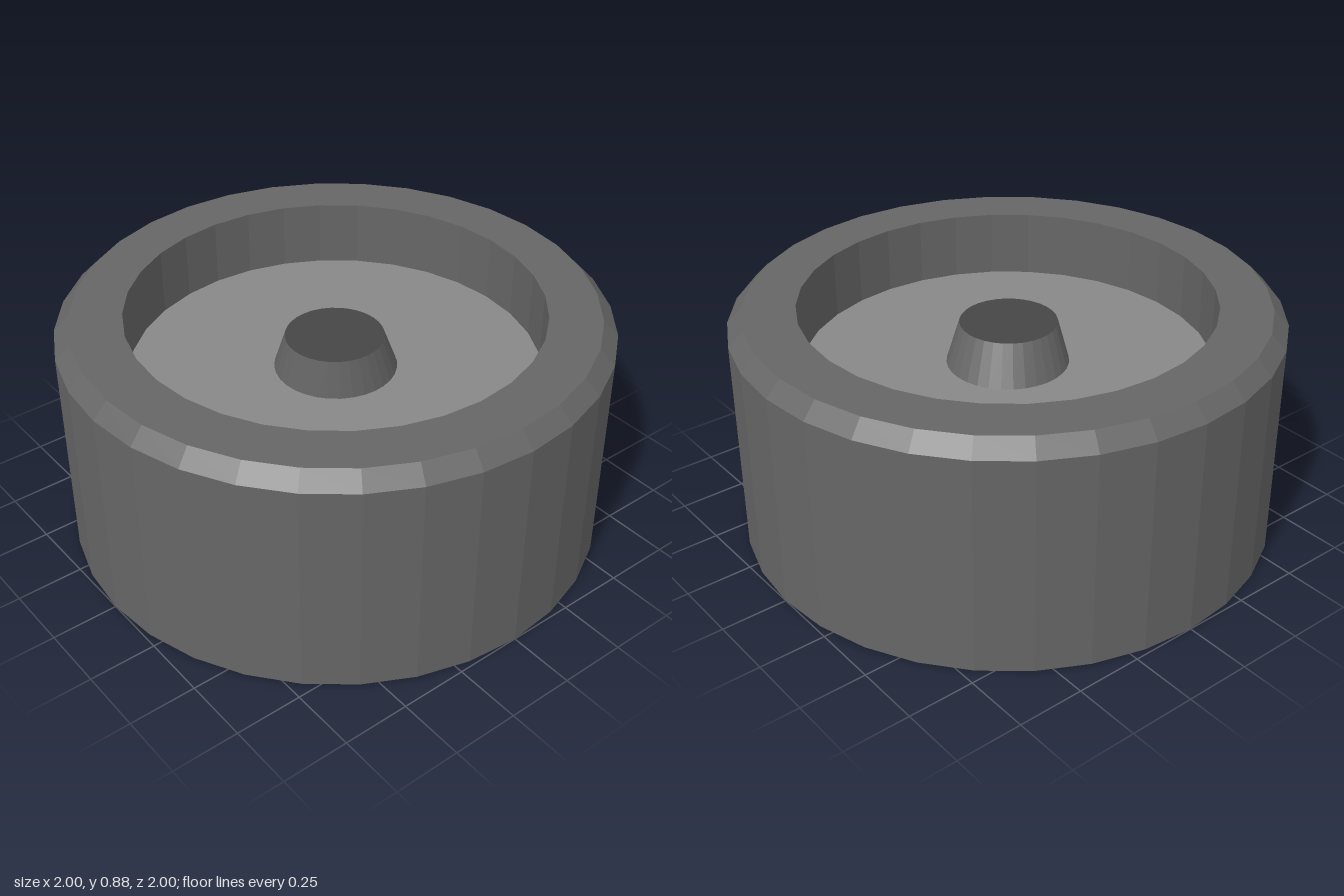
import * as THREE from 'three';

const SIDES = 32;
const FLOOR_Y = 0.625;
const PEG_TOP_Y = 0.77;
const PEG_LEAN = 0.02;

function part(name, geometry, color) {
  const material = new THREE.MeshStandardMaterial({ color });
  material.flatShading = true;
  const mesh = new THREE.Mesh(geometry, material);
  mesh.name = name;
  return mesh;
}

// Horizontal disc facing up
function disc(radius, x, y, z) {
  return new THREE.CircleGeometry(radius, SIDES).rotateX(-Math.PI / 2).translate(x, y, z);
}

export function createModel() {
  const group = new THREE.Group();
  group.name = 'recessedDrum';

  // Drum: closed base, wall, bevelled rim and the wall of the recess
  const profile = [
    [0, 0], [1, 0], [1, 0.82], [0.945, 0.877], [0.755, 0.877], [0.755, FLOOR_Y],
  ].map(([r, y]) => new THREE.Vector2(r, y));
  group.add(part('drumBody', new THREE.LatheGeometry(profile, SIDES), 0x666666));

  // Floor of the recess
  group.add(part('recessFloor', disc(0.755, 0, FLOOR_Y, 0), 0x888888));

  // Tapered peg, its top ring shifted slightly off centre
  const height = PEG_TOP_Y - FLOOR_Y;
  const peg = new THREE.CylinderGeometry(0.18, 0.225, height, SIDES, 1, true);
  peg.translate(0, FLOOR_Y + height / 2, 0);
  const pos = peg.attributes.position;
  for (let i = 0; i < pos.count; i++) {
    if (pos.getY(i) > FLOOR_Y + height / 2) {
      pos.setX(i, pos.getX(i) + PEG_LEAN);
      pos.setZ(i, pos.getZ(i) + PEG_LEAN);
    }
  }
  group.add(part('pegSide', peg, 0x666666));
  group.add(part('pegTop', disc(0.18, PEG_LEAN, PEG_TOP_Y, PEG_LEAN), 0x464646));

  return group;
}
